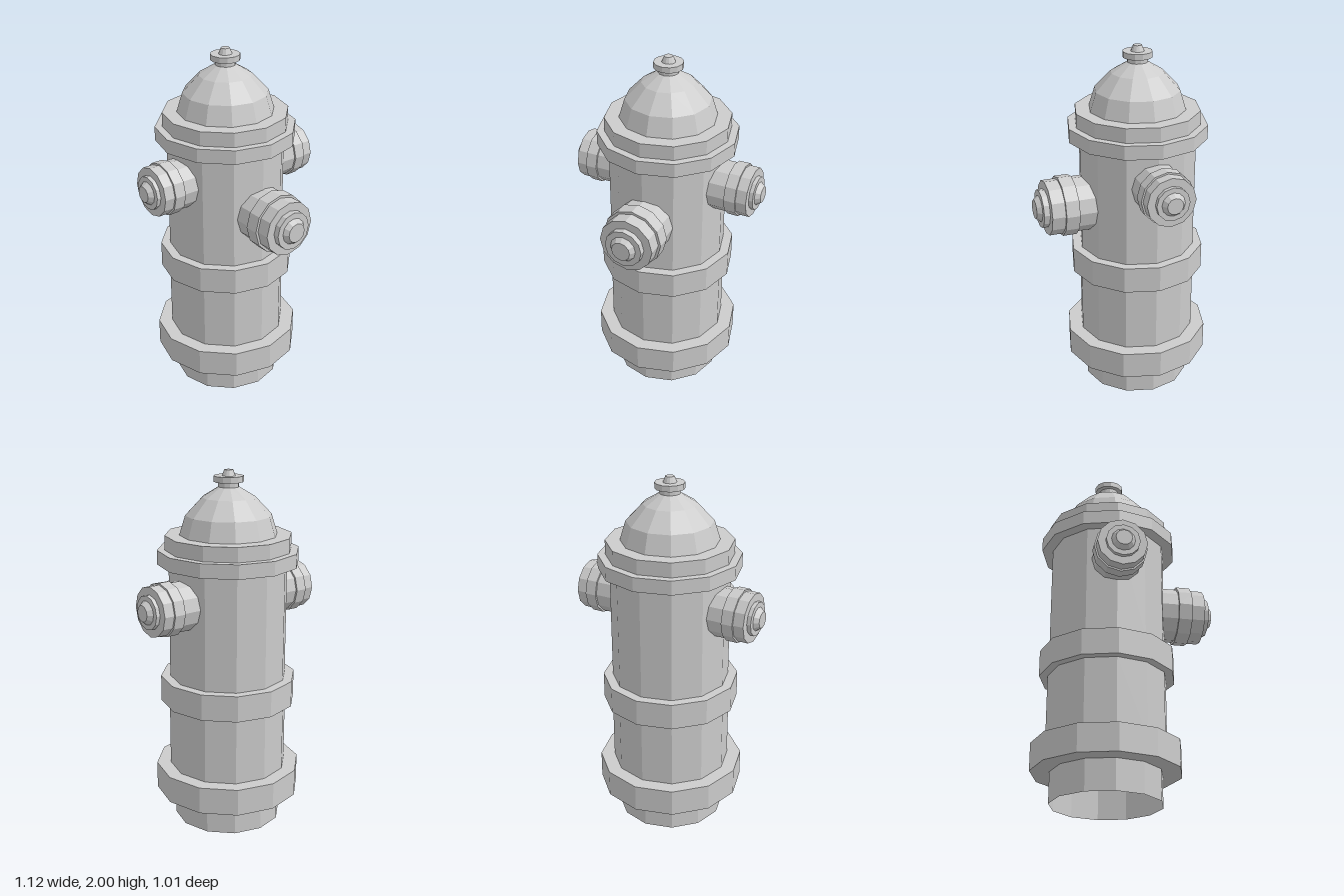
import * as THREE from 'three';

const SIDES = 12;
const AXIS_X = -0.007, AXIS_Z = -0.093;
const material = new THREE.MeshStandardMaterial({ color: 0xcccccc, flatShading: true });
const openMaterial = new THREE.MeshStandardMaterial({ color: 0xcccccc, flatShading: true, side: THREE.DoubleSide });

// Faceted turned part from [radius, height] pairs, listed bottom to top
function turned(name, profile, mat = material) {
  const points = profile.map(([r, y]) => new THREE.Vector2(r, y));
  const mesh = new THREE.Mesh(new THREE.LatheGeometry(points, SIDES), mat);
  mesh.name = name;
  return mesh;
}

// Closed drum between two heights
const drum = (name, r, y0, y1) => turned(name, [[0, y0], [r, y0], [r, y1], [0, y1]]);

// Hose outlet along +y: barrel, raised band, cap, end plate and tapered nut.
// d = distances of the steps from the start, r = radii
function outlet(name, r, d) {
  return turned(name, [
    [0, d[0]], [r.barrel, d[0]], [r.barrel, d[1]],
    [r.band, d[1]], [r.band, d[2]],
    [r.barrel, d[2]], [r.barrel, d[3]],
    [r.plate, d[3]], [r.plate, d[4]],
    [r.nut, d[4]], [r.nutTip, d[5]], [0, d[5]],
  ]);
}

export function createModel() {
  const model = new THREE.Group();
  model.name = 'fireHydrant';

  const body = new THREE.Group();
  body.name = 'body';
  body.position.set(AXIS_X, 0, AXIS_Z);
  model.add(body);

  // Hollow foot, open at the bottom
  body.add(turned('foot', [[0.305, 0], [0.305, 0.26], [0, 0.26]], openMaterial));

  // Base flange is a ring around the foot
  body.add(turned('baseFlange', [[0.305, 0.17], [0.411, 0.17], [0.411, 0.323], [0.3, 0.323]]));

  // Stacked barrel sections and flanges
  body.add(
    drum('lowerBarrel', 0.332, 0.3, 0.72),
    drum('middleFlange', 0.379, 0.71, 0.857),
    drum('upperBarrel', 0.327, 0.85, 1.5),
    drum('topFlange', 0.389, 1.497, 1.575),
    drum('bonnetRing', 0.347, 1.57, 1.655),
  );

  // Domed bonnet
  body.add(turned('bonnet', [[0.269, 1.65], [0.235, 1.76], [0.145, 1.855], [0.055, 1.91], [0, 1.912]]));

  // Operating nut on top
  body.add(turned('topNut', [
    [0.056, 1.9], [0.056, 1.936], [0.081, 1.936], [0.081, 1.968],
    [0.037, 1.968], [0.024, 2], [0, 2],
  ]));

  // Pair of side outlets
  for (const side of [1, -1]) {
    const sideOutlet = outlet(side > 0 ? 'leftOutlet' : 'rightOutlet',
      { barrel: 0.137, band: 0.147, plate: 0.093, nut: 0.065, nutTip: 0.045 },
      [0.25, 0.386, 0.45, 0.509, 0.531, 0.558]);
    sideOutlet.rotation.z = -side * Math.PI / 2;
    sideOutlet.position.set(0, 1.305, AXIS_Z);
    model.add(sideOutlet);
  }

  // Larger front outlet
  const frontOutlet = outlet('frontOutlet',
    { barrel: 0.154, band: 0.168, plate: 0.107, nut: 0.074, nutTip: 0.054 },
    [0.14, 0.293, 0.37, 0.445, 0.478, 0.505]);
  frontOutlet.rotation.x = Math.PI / 2;
  frontOutlet.position.set(0.001, 1.14, 0);
  model.add(frontOutlet);

  return model;
}
